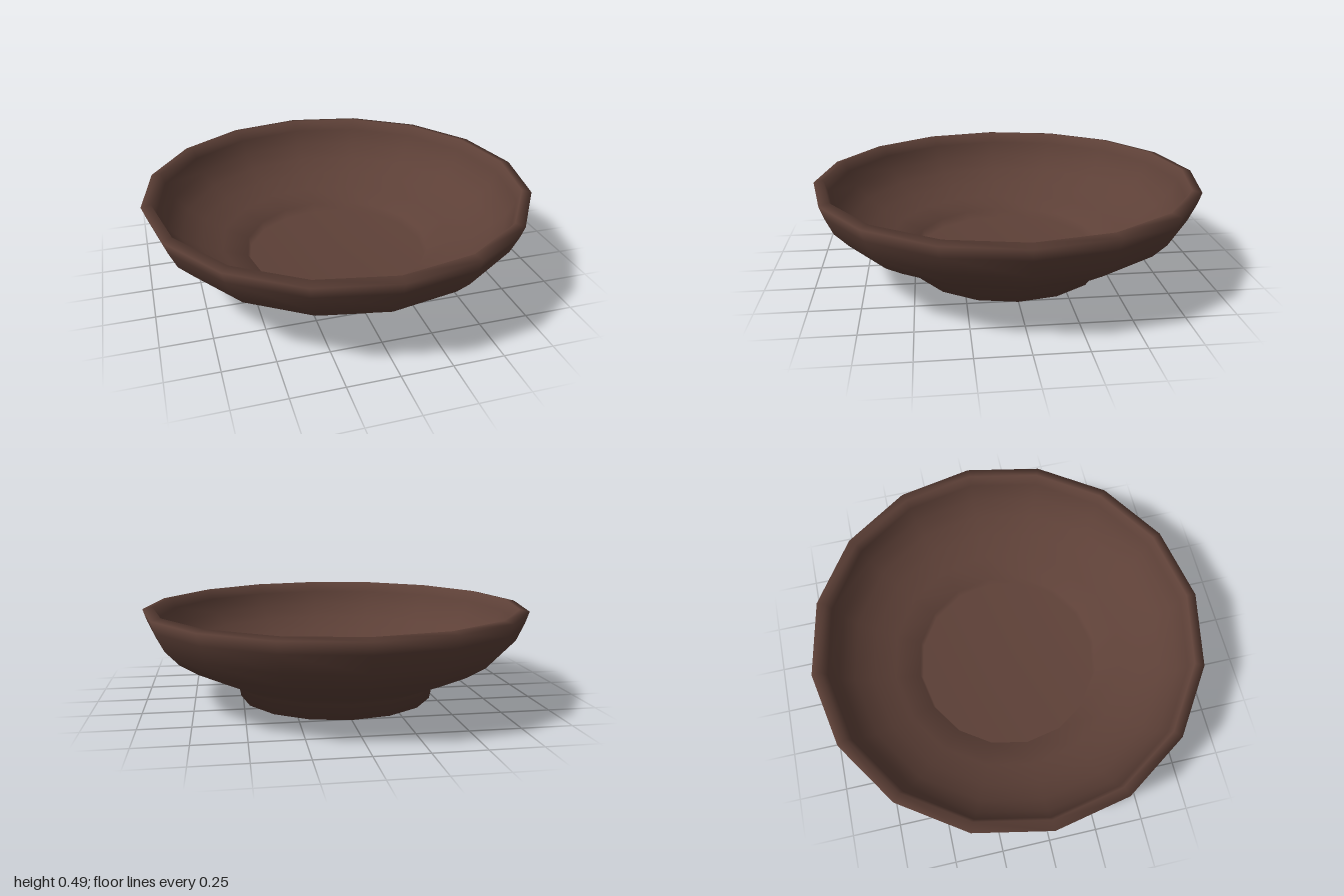
import * as THREE from 'three';

const SIDES = 16;

export function createModel() {
  const group = new THREE.Group();
  group.name = 'bowl';
  const material = new THREE.MeshStandardMaterial({ color: 0x5d4037 });

  // One closed profile: underside, foot, outer wall, lip, inner wall, sunken floor
  const profile = [
    [0, 0], [0.51, 0], [0.525, 0.08],
    [0.65, 0.135], [0.775, 0.195], [0.87, 0.255], [0.94, 0.33], [0.98, 0.42], [1, 0.48],
    [0.95, 0.49],
    [0.93, 0.43], [0.89, 0.35], [0.82, 0.28], [0.73, 0.22], [0.62, 0.17], [0.49, 0.125],
    [0.48, 0.075], [0, 0.075],
  ].map(([r, y]) => new THREE.Vector2(r, y));

  const dish = new THREE.Mesh(new THREE.LatheGeometry(profile, SIDES), material);
  dish.name = 'footedDish';
  group.add(dish);
  return group;
}
